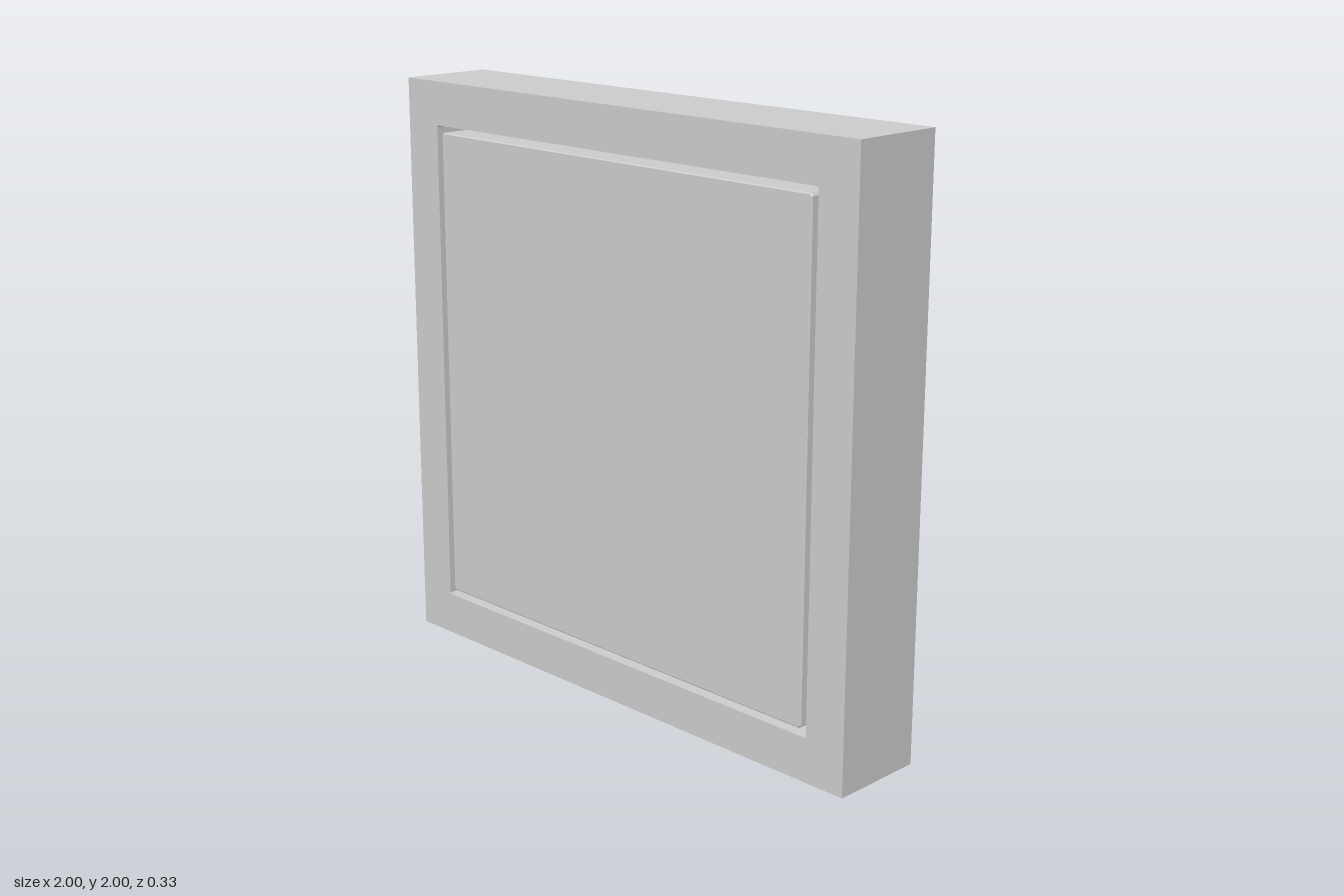
import * as THREE from 'three';

const DEPTH = 0.333;

// Square outline centred on the origin, with slightly eased corners
function easedSquare(target, half, r) {
  const k = half - r;
  target.moveTo(-k, -half);
  target.lineTo(k, -half);
  target.lineTo(half, -k);
  target.lineTo(half, k);
  target.lineTo(k, half);
  target.lineTo(-k, half);
  target.lineTo(-half, k);
  target.lineTo(-half, -k);
  target.closePath();
  return target;
}

export function createModel() {
  const group = new THREE.Group();
  const material = new THREE.MeshStandardMaterial({ color: 0xcccccc, flatShading: true });

  function addPart(name, shape, bevel) {
    const geometry = new THREE.ExtrudeGeometry(shape, {
      depth: DEPTH - 2 * bevel,
      bevelEnabled: bevel > 0,
      bevelThickness: bevel,
      bevelSize: bevel,
      bevelOffset: -bevel,
      bevelSegments: 1,
    });
    geometry.translate(0, 1, -DEPTH / 2 + bevel);
    const mesh = new THREE.Mesh(geometry, material);
    mesh.name = name;
    group.add(mesh);
  }

  // Square outer frame with a through opening
  const frame = new THREE.Shape();
  frame.moveTo(-1, -1);
  frame.lineTo(1, -1);
  frame.lineTo(1, 1);
  frame.lineTo(-1, 1);
  frame.closePath();
  frame.holes.push(easedSquare(new THREE.Path(), 0.851, 0.006));
  addPart('frame', frame, 0);

  // Flush panel floating inside the frame, with a narrow gap all round
  addPart('panel', easedSquare(new THREE.Shape(), 0.828, 0.008), 0.004);

  return group;
}
